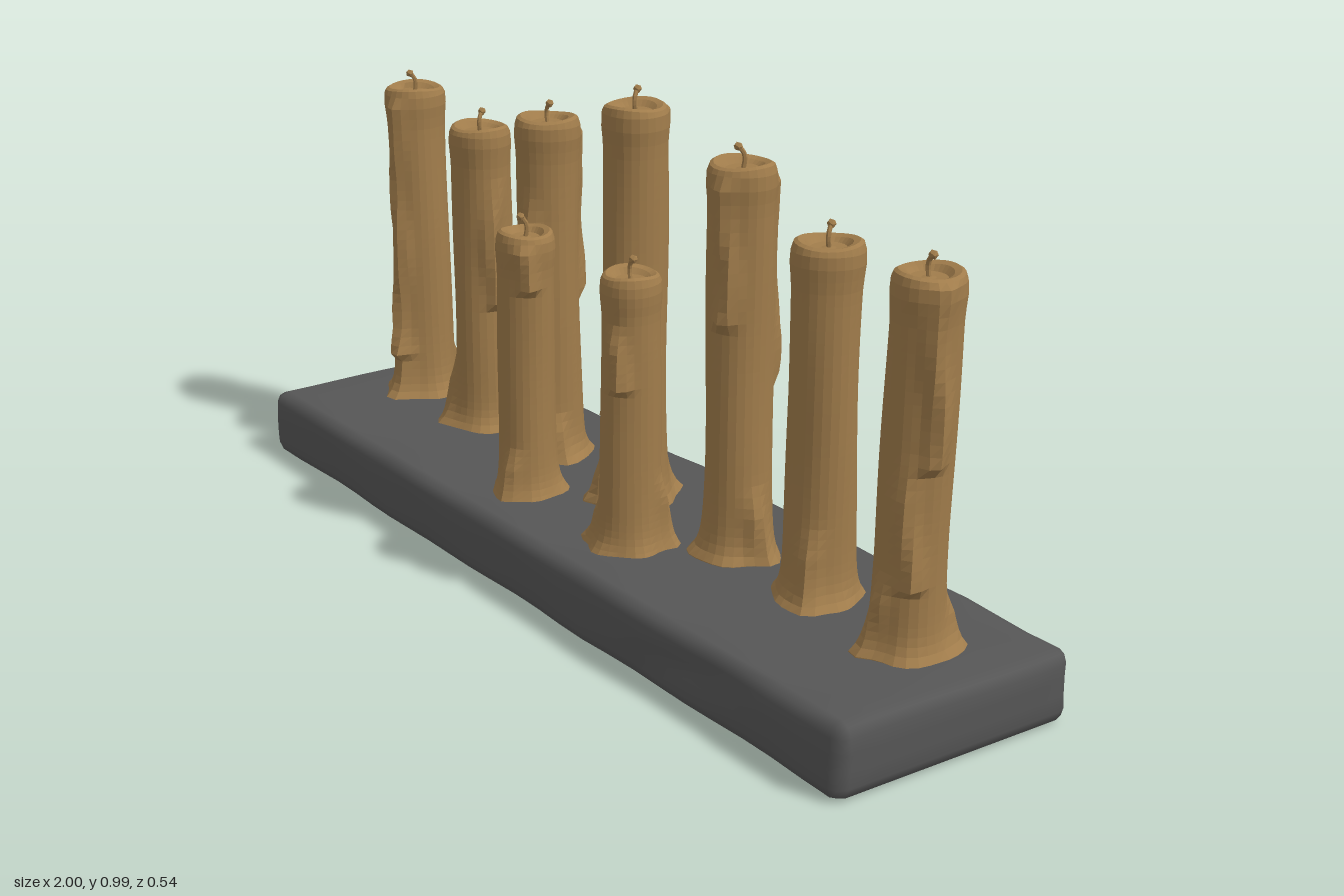
import * as THREE from 'three';
import { mergeVertices } from 'three/addons/utils/BufferGeometryUtils.js';

const BASE_TOP = 0.143;

// name, x, z, top height, drips [angle in degrees, top, bottom]; angle 0 = +x, 90 = +z
const CANDLES = [
  ['outerRightCandle', -0.825, -0.035, 0.84, [[75, 0.82, 0.24], [185, 0.83, 0.74], [215, 0.8, 0.54]]],
  ['secondRightCandle', -0.565, -0.035, 0.805, [[10, 0.7, 0.42], [235, 0.78, 0.62]]],
  ['thirdRightCandle', -0.325, -0.045, 0.87, [[75, 0.72, 0.47], [272, 0.85, 0.5]]],
  ['smallRightCandle', -0.173, 0.11, 0.69, [[35, 0.66, 0.58]]],
  ['centreCandle', -0.01, -0.04, 0.955, [[165, 0.5, 0.3], [262, 0.94, 0.83]]],
  ['smallLeftCandle', 0.18, 0.105, 0.69, [[60, 0.6, 0.47]]],
  ['thirdLeftCandle', 0.32, -0.045, 0.91, [[65, 0.88, 0.6], [275, 0.88, 0.48]]],
  ['secondLeftCandle', 0.563, -0.045, 0.82, [[255, 0.79, 0.68]]],
  ['outerLeftCandle', 0.82, -0.035, 0.835, [[20, 0.82, 0.5], [50, 0.52, 0.28], [255, 0.7, 0.47]]],
];

// Flat-shaded copy of a geometry
function facet(geo) {
  const g = geo.toNonIndexed();
  g.computeVertexNormals();
  return g;
}

// Stone slab: a box with rounded edges and a gently uneven surface
function slabGeometry() {
  const half = [1, 0.0725, 0.268], segs = [26, 5, 10], r = 0.026;
  let geo = new THREE.BoxGeometry(2, 0.145, 0.536, ...segs);
  geo.deleteAttribute('uv');
  geo.deleteAttribute('normal');
  geo = mergeVertices(geo);
  const pos = geo.attributes.position;
  for (let i = 0; i < pos.count; i++) {
    const p = [pos.getX(i), pos.getY(i), pos.getZ(i)];
    const inner = p.map((c, k) => {
      const h = half[k], step = (2 * h) / segs[k];
      if (Math.abs(c) < h - 1e-4) p[k] = (c * (h - r)) / (h - step);
      return THREE.MathUtils.clamp(p[k], r - h, h - r);
    });
    const core = new THREE.Vector3(...inner);
    const v = new THREE.Vector3(...p).sub(core).setLength(r).add(core);
    const wave = Math.sin(v.x * 9 + v.z * 7) + Math.sin(v.x * 17 - v.z * 13 + v.y * 30);
    if (v.y > 0.04) v.y -= 0.0015 * (wave + 1);
    if (Math.abs(v.z) > 0.24) v.z -= Math.sign(v.z) * 0.0022 * (wave + 1);
    // Chipped diagonal hollow on the front
    if (v.z > 0.2) {
      const off = v.y - (v.x - 0.56) * 0.25;
      v.z -= 0.01 * Math.exp(-((off / 0.025) ** 2) - ((v.x - 0.56) / 0.2) ** 2);
    }
    pos.setXYZ(i, v.x, v.y + 0.0725, v.z);
  }
  geo.computeVertexNormals();
  return geo;
}

// Wax body: stacked rings pushed outward along the drips, closed by a shallow dish
function waxGeometry(top, radius, lean, drips, seed) {
  const n = 26, levels = 34, start = BASE_TOP - 0.012;
  const rows = [];
  for (let j = 0; j <= levels; j++) rows.push([1, start + (top - 0.016 - start) * (j / levels) ** 1.15]);
  rows.push([0.95, top - 0.004], [0.85, top], [0.66, top - 0.004], [0.5, top - 0.013], [0.2, top - 0.014], [0, top - 0.012]);

  const verts = [], index = [];
  rows.forEach(([scale, y], j) => {
    for (let i = 0; i < n; i++) {
      const a = (i / n) * Math.PI * 2;
      let r = radius * (1 + 0.025 * Math.sin(3 * a + y * 7 + seed) + 0.02 * Math.sin(2 * a - y * 11 + seed * 2));
      // Skirt of wax pooled on the slab
      const rise = Math.max(0, y - BASE_TOP);
      const pool = 0.65 + 0.35 * Math.sin(a * 3 + seed * 1.7) * Math.cos(a * 2 + seed);
      r += 0.026 * pool * Math.exp(-rise / 0.02) + 0.008 * Math.exp(-rise / 0.12);
      // Lip bulge under the rim
      r += 0.004 * Math.exp(-(((top - 0.035 - y) / 0.03) ** 2));
      // Drips, thickest at their lower end
      for (const [deg, y1, y0] of drips) {
        const t = (y - y0) / (y1 - y0);
        if (t < 0 || t > 1) continue;
        const centre = (deg * Math.PI) / 180 + 0.12 * Math.sin(y * 22 + seed);
        const d = Math.atan2(Math.sin(a - centre), Math.cos(a - centre));
        const run = y1 > top - 0.04 ? 1 : Math.min(1, (1 - t) * 3);
        r += 0.019 * run * (1.2 - 0.5 * t) * Math.exp(-((d / 0.3) ** 2));
      }
      r *= scale;
      const shift = (lean * (y - BASE_TOP)) / (top - BASE_TOP);
      const uneven = scale < 1 && scale > 0.6 ? 0.003 * Math.sin(2 * a + seed) : 0;
      verts.push(shift + r * Math.cos(a), y + uneven, r * Math.sin(a));
      if (j < rows.length - 1) {
        const p = j * n + i, q = j * n + ((i + 1) % n);
        index.push(p, p + n, q, q, p + n, q + n);
      }
    }
  });
  const geo = new THREE.BufferGeometry();
  geo.setAttribute('position', new THREE.Float32BufferAttribute(verts, 3));
  geo.setIndex(index);
  return facet(geo);
}

// Bent wick with a small knob at the end
function addWick(parent, x, top, seed, material) {
  const dx = 0.009 * Math.cos(seed * 2.1), dz = 0.009 * Math.sin(seed * 2.1);
  const path = new THREE.CatmullRomCurve3([
    new THREE.Vector3(x, top - 0.018, 0),
    new THREE.Vector3(x - dx * 0.4, top + 0.005, -dz * 0.4),
    new THREE.Vector3(x, top + 0.018, 0),
    new THREE.Vector3(x + dx, top + 0.027, dz),
  ]);
  const wick = new THREE.Mesh(facet(new THREE.TubeGeometry(path, 6, 0.0045, 6)), material);
  wick.name = 'wick';
  const knob = new THREE.Mesh(new THREE.IcosahedronGeometry(0.009, 0), material);
  knob.name = 'wickTip';
  knob.position.set(x + dx, top + 0.027, dz);
  parent.add(wick, knob);
}

export function createModel() {
  const model = new THREE.Group();
  model.name = 'candleHolder';
  const stone = new THREE.MeshStandardMaterial({ color: 0x565656 });
  stone.name = 'dark grey stone';
  const wax = new THREE.MeshStandardMaterial({ color: 0xa07c4b });
  wax.name = 'brown wax';

  const slab = new THREE.Mesh(slabGeometry(), stone);
  slab.name = 'slab';
  model.add(slab);

  CANDLES.forEach(([name, x, z, top, drips], k) => {
    const candle = new THREE.Group();
    candle.name = name;
    candle.position.set(x, 0, z);
    const radius = z > 0 ? 0.056 : 0.063;
    const lean = 0.035 * x ** 3; // the outer candles tilt outward
    const seed = k * 1.3 + 0.5;
    // Two low runs of wax at the foot, turned differently on each candle
    const feet = [0, 1].map((i) => [80 + k * 47 + i * 200, 0.3 - i * 0.05, BASE_TOP - 0.02]);
    const body = new THREE.Mesh(waxGeometry(top, radius, lean, [...drips, ...feet], seed), wax);
    body.name = 'waxBody';
    candle.add(body);
    addWick(candle, lean, top, k + 1, wax);
    model.add(candle);
  });
  return model;
}
